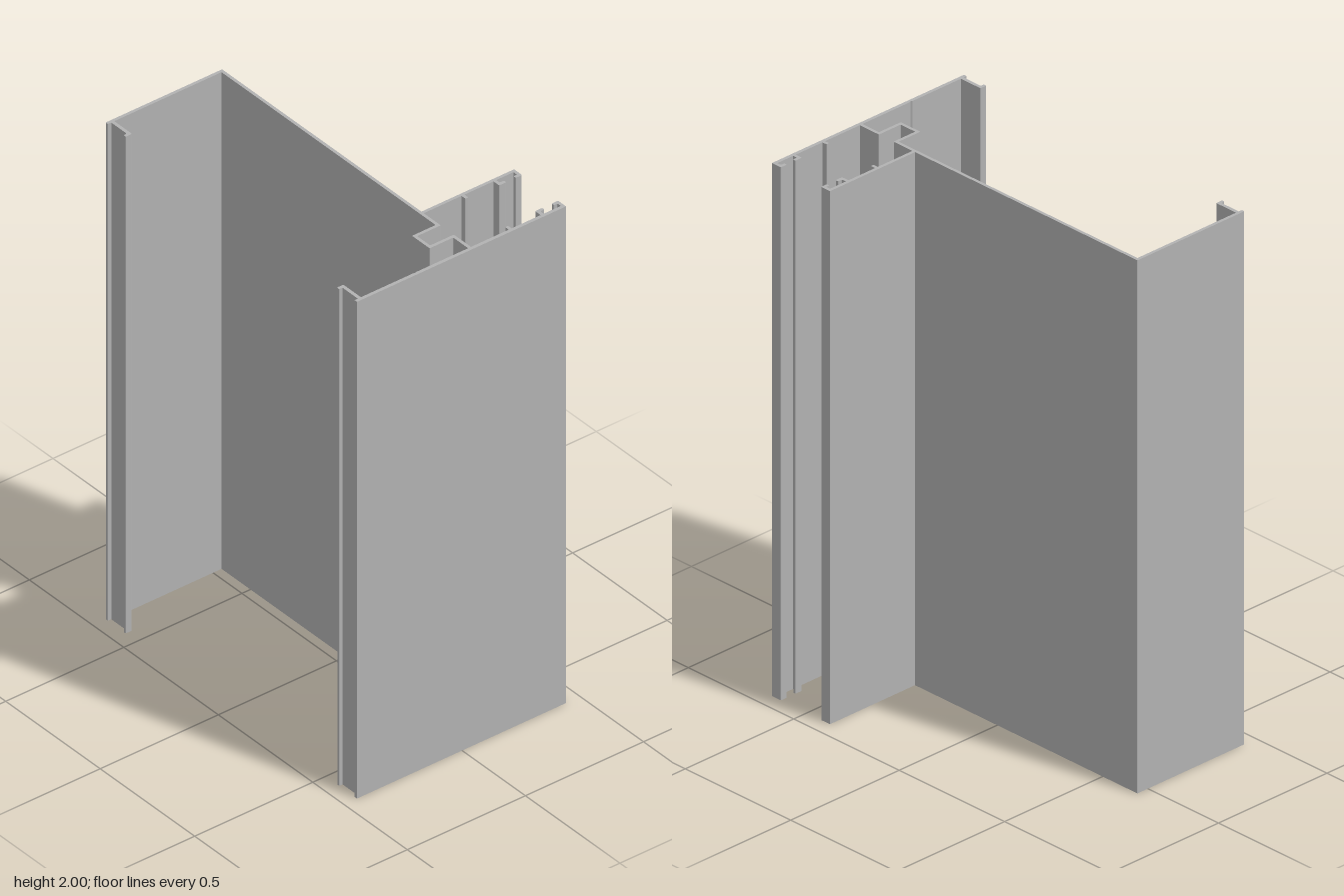
import * as THREE from 'three';

const HEIGHT = 2;
const T = 0.012; // wall thickness

// Extrude a plan outline of [x, z] points upward, rounding its corners by r
function extrudePlan(name, pts, material, r = 0) {
  const p = pts.map(([x, z]) => new THREE.Vector2(x, -z));
  const shape = new THREE.Shape();
  p.forEach((c, i) => {
    if (!r) return i ? shape.lineTo(c.x, c.y) : shape.moveTo(c.x, c.y);
    const toward = (q) => {
      const d = q.clone().sub(c);
      return c.clone().addScaledVector(d.normalize(), Math.min(r, q.distanceTo(c) * 0.45));
    };
    const a = toward(p[(i + p.length - 1) % p.length]);
    const b = toward(p[(i + 1) % p.length]);
    if (i) shape.lineTo(a.x, a.y); else shape.moveTo(a.x, a.y);
    shape.quadraticCurveTo(c.x, c.y, b.x, b.y);
  });
  shape.closePath();
  const geo = new THREE.ExtrudeGeometry(shape, { depth: HEIGHT, bevelEnabled: false, curveSegments: 3 });
  geo.rotateX(-Math.PI / 2);
  const mesh = new THREE.Mesh(geo, material);
  mesh.name = name;
  return mesh;
}

export function createModel() {
  const group = new THREE.Group();
  group.name = 'extrudedProfile';
  const aluminium = new THREE.MeshStandardMaterial({ color: 0xb2b2b2 });
  aluminium.name = 'plain grey metal';
  const add = (name, pts, r) => group.add(extrudePlan(name, pts, aluminium, r));

  // Back flange and long web in one angle, running into the square channel
  add('backFlangeAndWeb', [
    [-0.445, -0.665], [0.048, -0.665], [0.048, 0.492], [-0.052, 0.492],
    [-0.052, 0.561], [0.048, 0.561], [0.048, 0.652], [0.036, 0.652],
    [0.036, 0.573], [-0.064, 0.573], [-0.064, 0.48], [0.036, 0.48],
    [0.036, -0.653], [-0.445, -0.653],
  ], 0.003);

  // Front plate with a fine groove on its inner face
  add('frontPlate', [
    [-0.445, 0.665], [-0.445, 0.652], [-0.194, 0.652], [-0.19, 0.656],
    [-0.186, 0.652], [0.44, 0.652], [0.44, 0.665],
  ]);

  // Side arm parallel to the front plate
  add('sideArm', [[0.047, 0.39], [0.44, 0.39], [0.44, 0.402], [0.047, 0.402]], 0.002);

  // Inward lips with outward feet on both flanges
  for (const [name, s] of [['backLip', -1], ['frontLip', 1]]) {
    add(name, [
      [-0.431, s * 0.655], [-0.431, s * 0.571], [-0.445, s * 0.571],
      [-0.445, s * 0.559], [-0.418, s * 0.559], [-0.418, s * 0.655],
    ], 0.004);
  }

  // Facing ribs and paired hooks, mirrored about the slot centre
  const mid = 0.5275;
  for (const [side, s] of [['arm', -1], ['plate', 1]]) {
    const z = (d) => mid + s * d;
    const root = 0.128, tip = 0.095, inner = tip + T;
    add(side + 'Rib', [[0.208, z(root)], [0.208, z(0.105)], [0.22, z(0.105)], [0.22, z(root)]], 0.004);
    add(side + 'InnerHook', [
      [0.343, z(root)], [0.343, z(tip)], [0.373, z(tip)],
      [0.373, z(inner)], [0.355, z(inner)], [0.355, z(root)],
    ], 0.004);
    add(side + 'EndHook', [
      [0.44, z(root)], [0.44, z(tip)], [0.413, z(tip)],
      [0.413, z(inner)], [0.428, z(inner)], [0.428, z(root)],
    ], 0.004);
  }
  return group;
}
